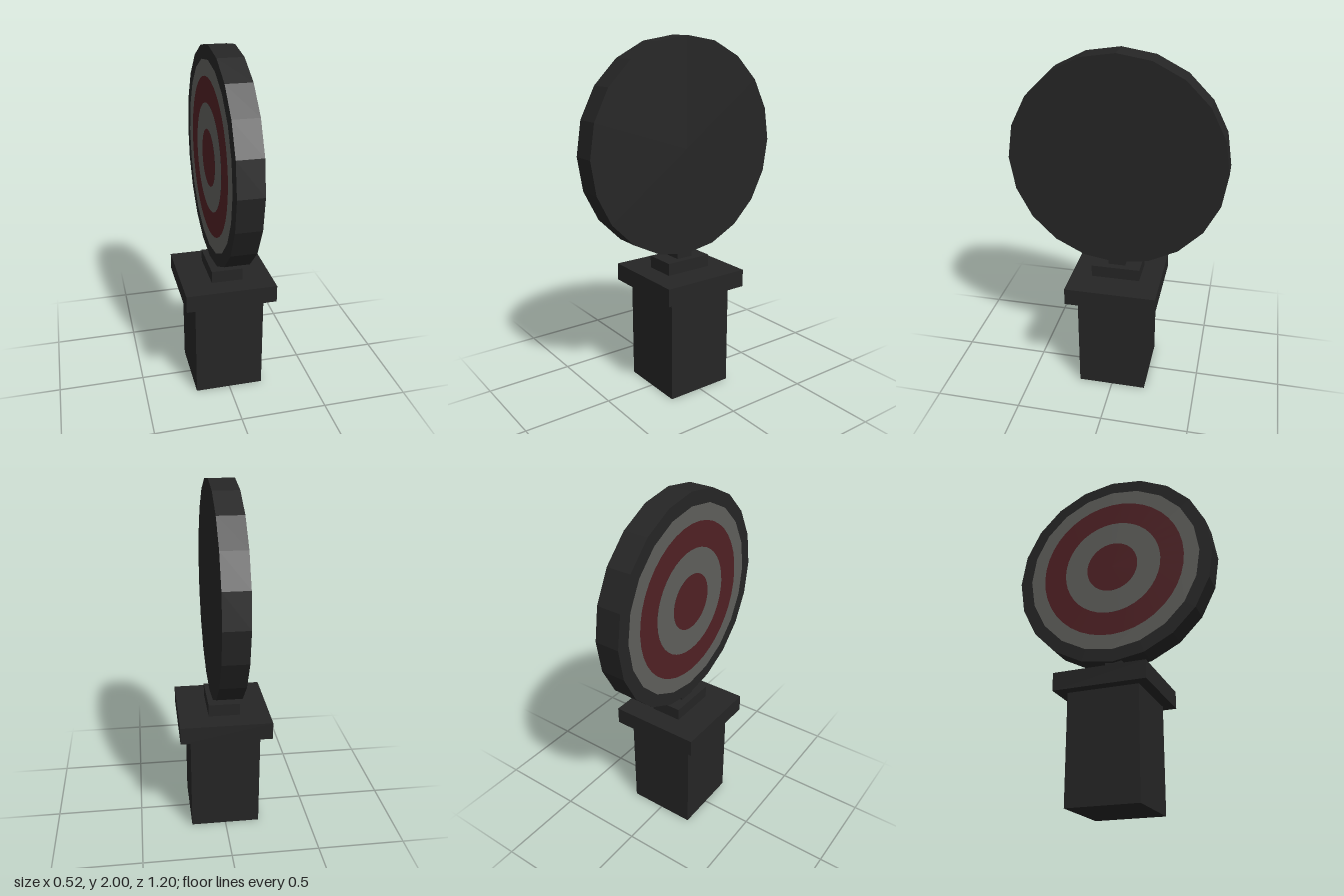
import * as THREE from 'three';

export function createModel() {
  const model = new THREE.Group();
  model.name = 'targetOnPedestal';

  const material = (name, color) => {
    const m = new THREE.MeshStandardMaterial({ color });
    m.name = name;
    return m;
  };
  const dark = material('charcoal', 0x252525);
  const pale = material('paleGrey', 0x5f5f5b);
  const red = material('darkRed', 0x502024);
  dark.flatShading = true;

  const add = (name, geometry, mat, x, y) => {
    const mesh = new THREE.Mesh(geometry, mat);
    mesh.name = name;
    mesh.position.set(x, y, 0);
    model.add(mesh);
    return mesh;
  };

  // Stacked pedestal: name, width, depth, bottom, top
  const blocks = [
    ['pedestalPost', 0.4, 0.4, 0, 0.6],
    ['pedestalCap', 0.52, 0.52, 0.6, 0.7],
    ['mountPlate', 0.18, 0.28, 0.7, 0.77],
    ['neck', 0.1, 0.1, 0.77, 0.83],
  ];
  for (const [name, w, d, y0, y1] of blocks) {
    add(name, new THREE.BoxGeometry(w, y1 - y0, d), dark, 0, (y0 + y1) / 2);
  }

  // Round board standing on edge
  const discY = 1.4;
  const disc = new THREE.CylinderGeometry(0.6, 0.6, 0.14, 20).rotateZ(Math.PI / 2);
  add('targetBoard', disc, dark, 0, discY);

  // Painted rings on the right-hand (-x) face: inner radius, outer radius, sides
  const rings = [
    ['outerPaleRing', 0.434, 0.526, 20, pale],
    ['outerRedRing', 0.297, 0.436, 40, red],
    ['innerPaleRing', 0.157, 0.297, 40, pale],
    ['bullseye', 0, 0.157, 40, red],
  ];
  rings.forEach(([name, inner, outer, sides, mat], i) => {
    const geometry = inner > 0
      ? new THREE.RingGeometry(inner, outer, sides)
      : new THREE.CircleGeometry(outer, sides);
    add(name, geometry.rotateY(-Math.PI / 2), mat, -0.072 - i * 0.0005, discY);
  });

  return model;
}
